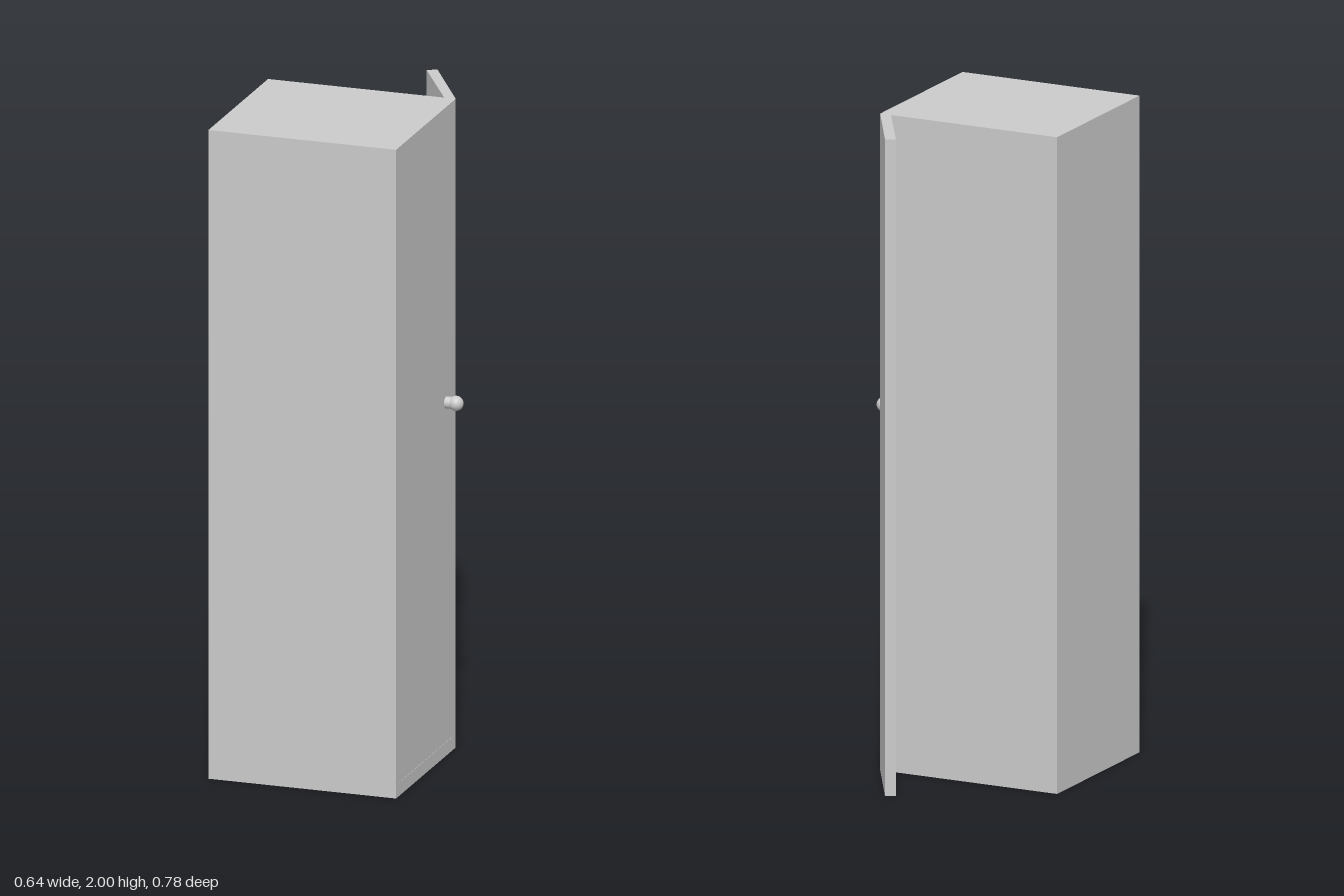
import * as THREE from 'three';

export function createModel() {
  const group = new THREE.Group();
  const material = new THREE.MeshStandardMaterial({ color: 0xcccccc });
  const add = (name, geometry, x = 0, y = 0, z = 0) => {
    const mesh = new THREE.Mesh(geometry, material);
    mesh.name = name;
    mesh.position.set(x, y, z);
    group.add(mesh);
    return mesh;
  };

  // Cabinet body
  const left = 0.265, right = -0.32, front = 0.39, back = -0.139;
  add('cabinetBody', new THREE.BoxGeometry(left - right, 2, front - back),
    (left + right) / 2, 1, (front + back) / 2);

  // Slanted full-height panel hinged on the back left corner, drawn in plan as [x, z]
  const plan = [[left, back], [0.119, -0.392], [0.091, -0.376], [0.229, back]];
  const shape = new THREE.Shape(plan.map(([x, z]) => new THREE.Vector2(x, -z)));
  const panel = new THREE.ExtrudeGeometry(shape, { depth: 2, bevelEnabled: false });
  panel.rotateX(-Math.PI / 2);
  add('anglePanel', panel);

  // Thin seam strip near the foot of the side
  add('seamStrip', new THREE.BoxGeometry(0.002, 0.004, 0.46), left, 0.04, 0.128);

  // Round knob on a short stem
  const knobY = 1.09, knobZ = -0.053;
  const stem = new THREE.CylinderGeometry(0.018, 0.018, 0.03, 32);
  stem.rotateZ(Math.PI / 2);
  add('knobStem', stem, left + 0.012, knobY, knobZ);
  add('knobBall', new THREE.SphereGeometry(0.0225, 32, 20), 0.296, knobY, knobZ);

  return group;
}
